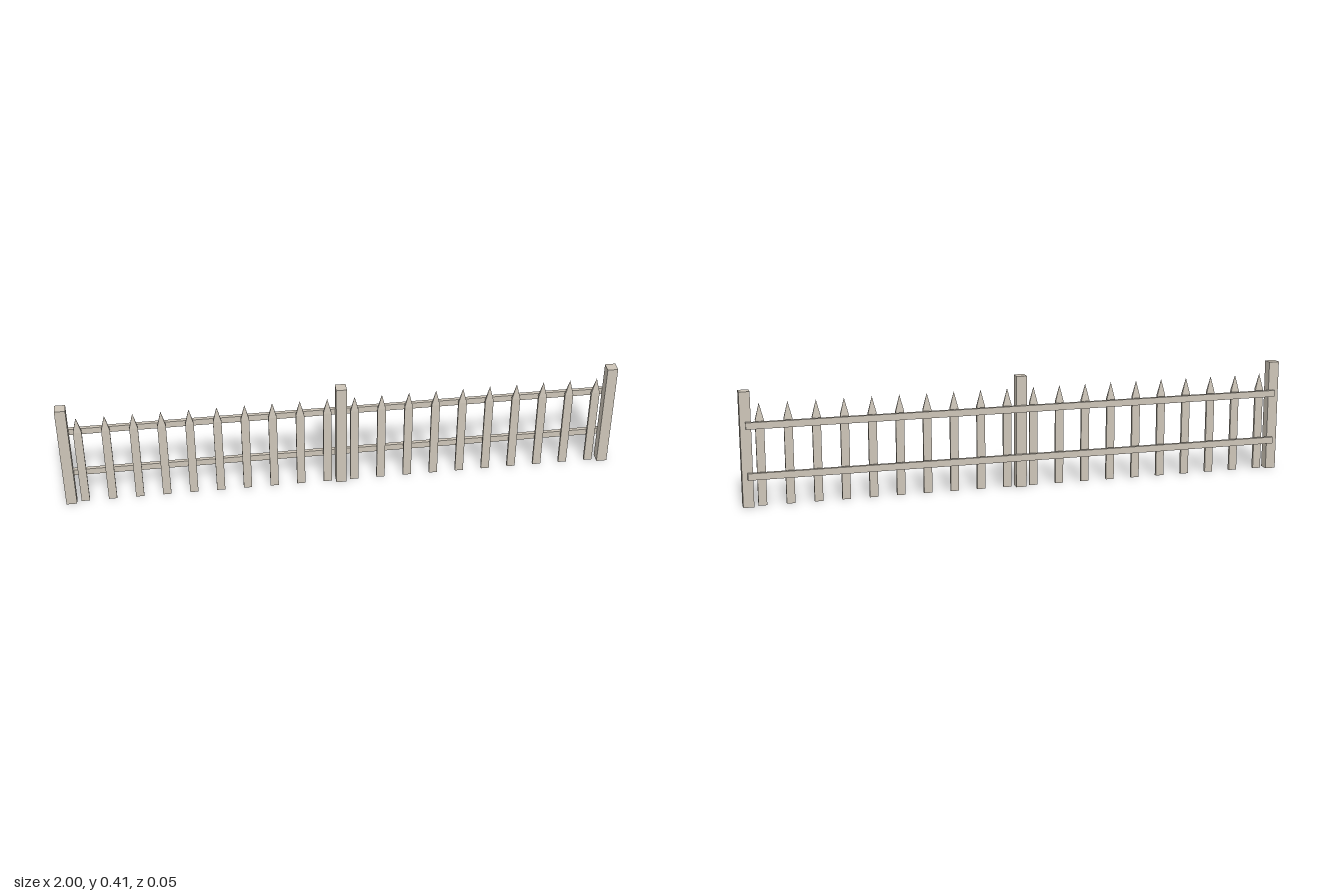
import * as THREE from 'three';

export function createModel() {
  const fence = new THREE.Group();
  fence.name = 'picketFence';
  const wood = new THREE.MeshStandardMaterial({ color: 0xcdc5b8, flatShading: true });

  const add = (parent, name, geometry, x, y, z) => {
    const mesh = new THREE.Mesh(geometry, wood);
    mesh.name = name;
    mesh.position.set(x, y, z);
    parent.add(mesh);
  };

  // Three square posts: both ends and the middle
  const postGeometry = new THREE.BoxGeometry(0.038, 0.41, 0.038);
  for (const x of [-0.981, 0, 0.981]) add(fence, 'post', postGeometry, x, 0.205, 0.007);

  // Two rails across the back of the posts
  const railGeometry = new THREE.BoxGeometry(1.962, 0.024, 0.013);
  for (const y of [0.112, 0.292]) add(fence, 'rail', railGeometry, 0, y, -0.0185);

  // Pickets: thin boards, each capped by a flattened four-sided point
  const width = 0.03, depth = 0.011, shoulder = 0.305, point = 0.06;
  const boardGeometry = new THREE.BoxGeometry(width, shoulder, depth);
  const pointGeometry = new THREE.ConeGeometry(Math.SQRT1_2, point, 4, 1, true)
    .rotateY(Math.PI / 4)
    .scale(width, 1, depth);
  for (let i = 0; i < 20; i++) {
    const picket = new THREE.Group();
    picket.name = 'picket';
    picket.position.set((i - 9.5) * 0.098, 0, 0.008);
    add(picket, 'picketBoard', boardGeometry, 0, shoulder / 2, 0);
    add(picket, 'picketPoint', pointGeometry, 0, shoulder + point / 2, 0);
    fence.add(picket);
  }
  return fence;
}
